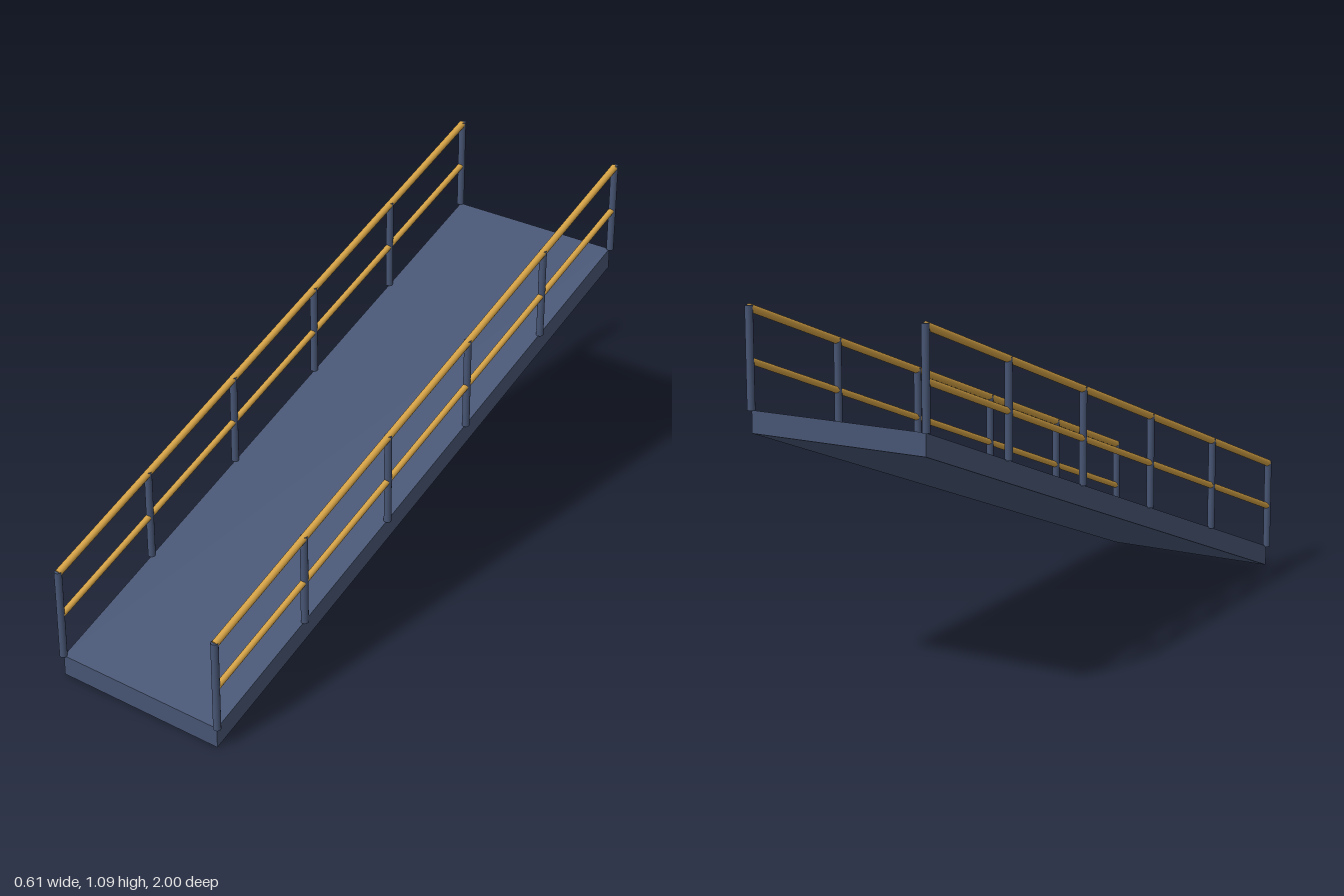
import * as THREE from 'three';

const HALF = 0.988;          // half length along z
const RISE = 0.727;          // height gained from front to back
const DECK = 0.065;          // deck thickness
const RAIL_X = 0.2915;       // rail and post offset from the centre
const POSTS = 6;

// height of the deck's top surface at z
const deckY = (z) => DECK + RISE * (HALF - z) / (2 * HALF);

export function createModel() {
  const group = new THREE.Group();
  const navy = new THREE.MeshStandardMaterial({ color: 0x465472 });
  navy.name = 'navy paint';
  const gold = new THREE.MeshStandardMaterial({ color: 0xd2a044 });
  gold.name = 'yellow rail paint';

  const add = (name, geometry, material, parent = group) => {
    const mesh = new THREE.Mesh(geometry, material);
    mesh.name = name;
    parent.add(mesh);
    return mesh;
  };

  // Sloping deck: a box sheared upwards towards the back, with upright ends
  const deck = new THREE.BoxGeometry(0.58, DECK, 2 * HALF);
  const p = deck.attributes.position;
  for (let i = 0; i < p.count; i++) {
    p.setY(i, p.getY(i) - DECK / 2 + deckY(p.getZ(i)));
  }
  deck.computeVertexNormals();
  add('deck', deck, navy);

  // Railings, one per side
  const postHeight = 0.29;
  const railLength = Math.hypot(2 * HALF, RISE);
  const railTilt = -Math.atan2(2 * HALF, RISE);
  for (const [side, sign] of [['left', 1], ['right', -1]]) {
    const railing = new THREE.Group();
    railing.name = side + 'Railing';
    railing.position.x = sign * RAIL_X;
    group.add(railing);

    for (let i = 0; i < POSTS; i++) {
      const z = HALF - (2 * HALF * i) / (POSTS - 1);
      const post = add('post', new THREE.CylinderGeometry(0.0115, 0.0115, postHeight, 16), navy, railing);
      post.position.set(0, deckY(z) + postHeight / 2, z);
    }

    // Handrail and mid rail run parallel to the deck
    for (const [name, height, radius] of [['handrail', 0.284, 0.0112], ['midRail', 0.138, 0.0098]]) {
      const rail = add(name, new THREE.CylinderGeometry(radius, radius, railLength, 16), gold, railing);
      rail.position.y = deckY(0) + height;
      rail.rotation.x = railTilt;
    }
  }
  return group;
}
